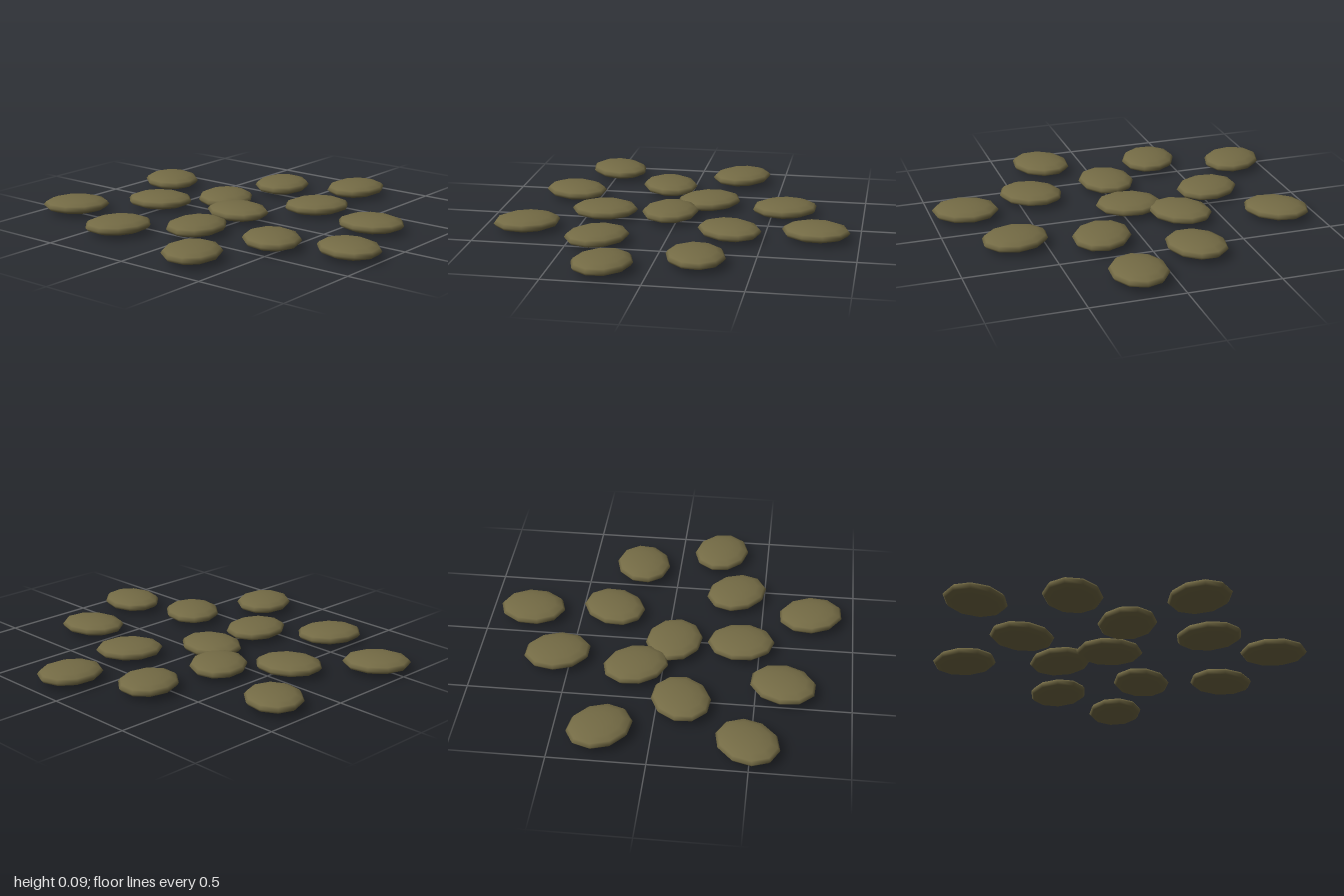
import * as THREE from 'three';

// Each stone: centre x, centre z, direction of its long axis in degrees (from +x towards +z)
const STONES = [
  [0.17, -0.77, -86], [-0.21, -0.57, 70], [-0.79, -0.26, 40], [-0.28, -0.14, 55],
  [0.22, -0.32, -55], [0.655, -0.21, -15], [-0.045, 0.04, 8], [-0.535, 0.125, -25],
  [-0.83, 0.485, -42], [-0.365, 0.64, -65], [-0.03, 0.4, 85], [0.425, 0.345, 40],
  [0.82, 0.23, 15], [0.255, 0.765, 65],
];
const HALF_LENGTH = 0.18, HALF_WIDTH = 0.152, HALF_HEIGHT = 0.043;

export function createModel() {
  const group = new THREE.Group();
  group.name = 'steppingStones';

  const stoneMaterial = new THREE.MeshStandardMaterial({ color: 0x746b45 });
  stoneMaterial.name = 'mossy olive stone';

  // Flat ten-sided pebble, smooth shaded
  const pebble = new THREE.SphereGeometry(1, 10, 8);
  pebble.scale(HALF_LENGTH, HALF_HEIGHT, HALF_WIDTH);
  pebble.computeVertexNormals();
  // Merge the shading across the sphere's seam and poles
  const p = pebble.attributes.position, n = pebble.attributes.normal;
  for (let i = 0; i < p.count; i++) {
    const v = new THREE.Vector3(
      p.getX(i) / HALF_LENGTH ** 2, p.getY(i) / HALF_HEIGHT ** 2, p.getZ(i) / HALF_WIDTH ** 2,
    ).normalize();
    n.setXYZ(i, v.x, v.y, v.z);
  }

  // Scatter the stones
  STONES.forEach(([x, z, degrees], i) => {
    const stone = new THREE.Mesh(pebble, stoneMaterial);
    stone.name = `stone${i + 1}`;
    stone.position.set(x, 0.053, z);
    stone.rotation.y = -THREE.MathUtils.degToRad(degrees);
    group.add(stone);
  });
  return group;
}
